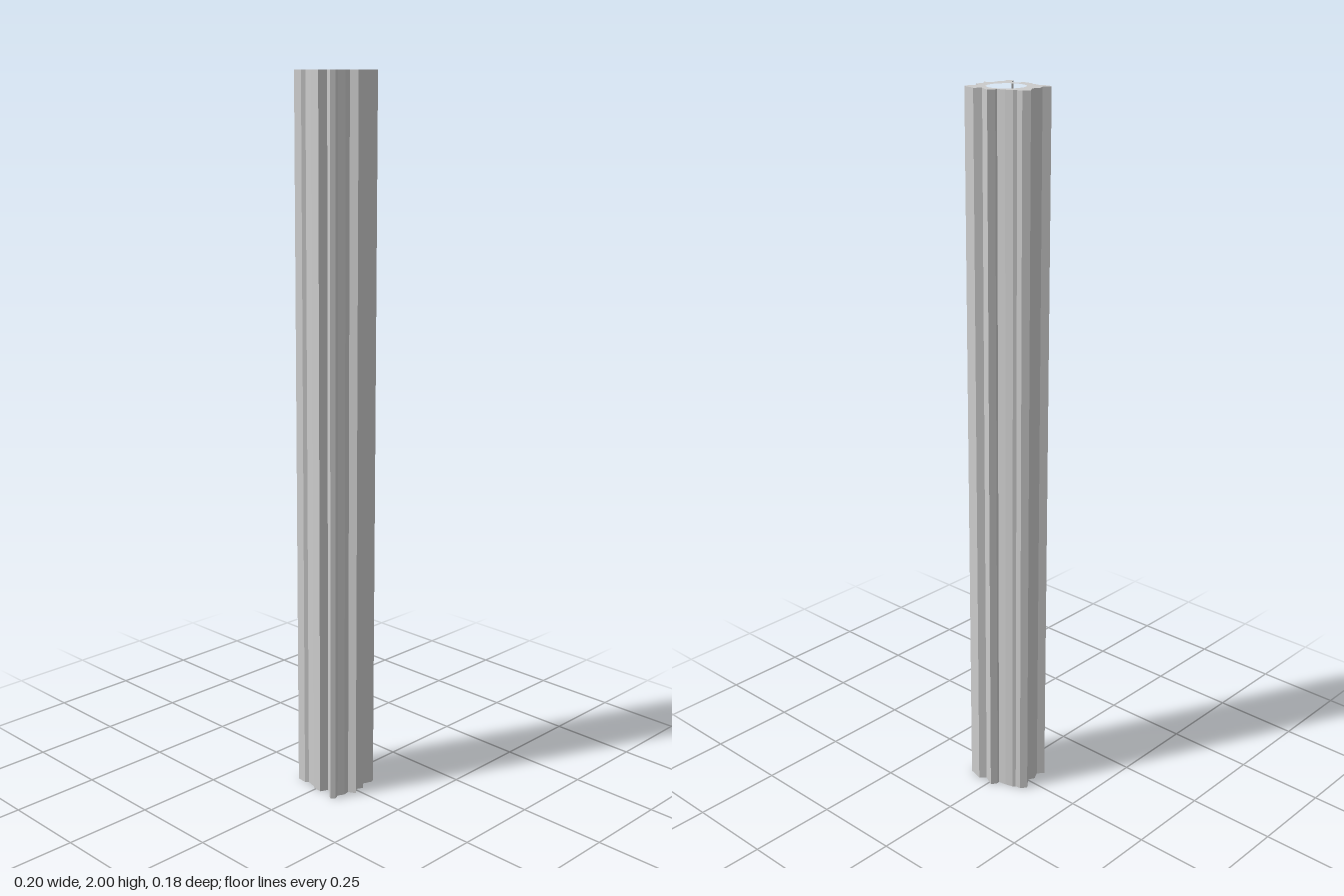
import * as THREE from 'three';

// Irregular cross-section of the column as [x, z] pairs
const OUTLINE = [
  [-0.1, -0.03], [-0.086, -0.046], [-0.071, -0.048], [-0.064, -0.055], [-0.043, -0.061],
  [-0.02, -0.065], [-0.021, -0.073], [-0.01, -0.09], [0.023, -0.073], [0.039, -0.088],
  [0.08, -0.077], [0.084, -0.068], [0.071, -0.034], [0.092, -0.023], [0.084, -0.005],
  [0.1, 0.015], [0.079, 0.025], [0.082, 0.043], [0.073, 0.061], [0.08, 0.077],
  [0.071, 0.088], [0.061, 0.082], [0.05, 0.063], [0.03, 0.057], [0.02, 0.079],
  [-0.009, 0.075], [-0.011, 0.071], [-0.043, 0.063], [-0.052, 0.07], [-0.08, 0.068],
  [-0.087, 0.061], [-0.073, 0.043], [-0.084, 0.021], [-0.075, 0.002],
];
const HEIGHT = 2;
const BORE = { x: 0.004, z: -0.006, radius: 0.051 };

export function createModel() {
  const group = new THREE.Group();
  group.name = 'hollowColumn';

  // Ridged tube: jagged outline with a round bore, extruded upright
  const shape = new THREE.Shape(OUTLINE.map(([x, z]) => new THREE.Vector2(x, -z)));
  const bore = new THREE.Path();
  bore.absarc(BORE.x, -BORE.z, BORE.radius, 0, Math.PI * 2, true);
  shape.holes.push(bore);

  const geometry = new THREE.ExtrudeGeometry(shape, {
    depth: HEIGHT, bevelEnabled: false, curveSegments: 32,
  });
  geometry.rotateX(-Math.PI / 2);

  const column = new THREE.Mesh(geometry, new THREE.MeshStandardMaterial({ color: 0xcccccc }));
  column.name = 'ridgedTube';
  group.add(column);
  return group;
}
